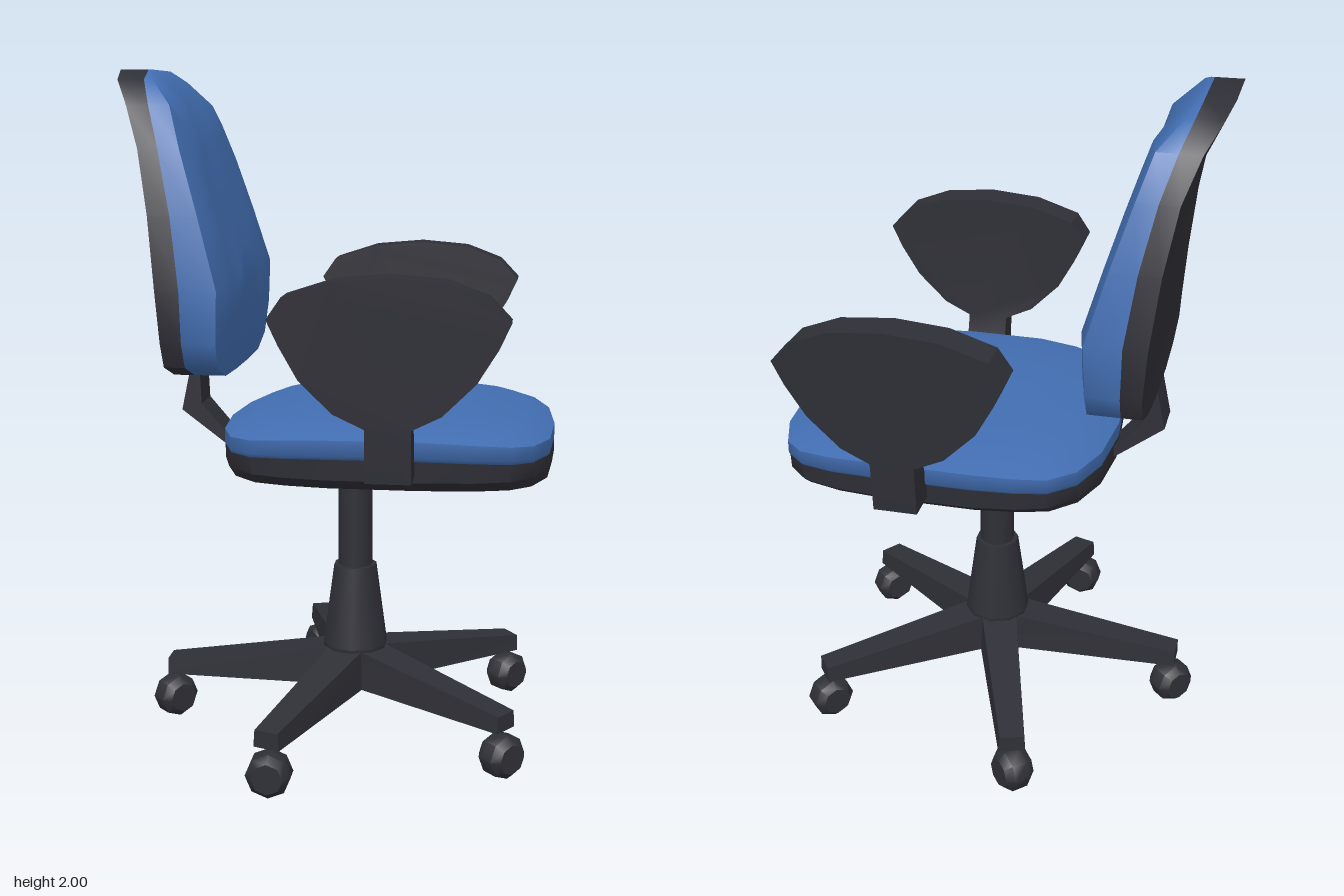
import * as THREE from 'three';
import { toCreasedNormals } from 'three/addons/utils/BufferGeometryUtils.js';

const fabric = new THREE.MeshStandardMaterial({ color: 0x426eb2 });
fabric.name = 'blue fabric';
const plastic = new THREE.MeshStandardMaterial({ color: 0x2f2f37 });
plastic.name = 'dark plastic';

// Piecewise linear lookup in a short list of [input, output] pairs
function lookup(table, v) {
  if (v <= table[0][0]) return table[0][1];
  for (let i = 1; i < table.length; i++) {
    const [a, p] = table[i - 1], [b, q] = table[i];
    if (v <= b) return p + (q - p) * (v - a) / (b - a);
  }
  return table[table.length - 1][1];
}

// Skin a list of equal-length rings, ordered towards the outward end
function loft(rings, crease = 0.7) {
  const n = rings[0].length, index = [];
  for (let r = 0; r < rings.length - 1; r++) {
    for (let i = 0; i < n; i++) {
      const a = r * n + i, b = r * n + (i + 1) % n;
      index.push(a, b, b + n, a, b + n, a + n);
    }
  }
  const g = new THREE.BufferGeometry();
  g.setAttribute('position', new THREE.Float32BufferAttribute(rings.flat(2), 3));
  g.setIndex(index);
  return toCreasedNormals(g, crease);
}

// Move every vertex by a rule that edits a Vector3
function reshape(g, rule) {
  const p = g.attributes.position, v = new THREE.Vector3();
  for (let i = 0; i < p.count; i++) {
    v.fromBufferAttribute(p, i);
    rule(v);
    p.setXYZ(i, v.x, v.y, v.z);
  }
  return g;
}

function add(parent, name, geometry, material) {
  const mesh = new THREE.Mesh(geometry, material);
  mesh.name = name;
  parent.add(mesh);
  return mesh;
}

function buildSeat() {
  const seat = new THREE.Group();
  seat.name = 'seat';
  // Half outline from front to back, as [x, z]
  const half = [[0.63, 0], [0.615, 0.23], [0.57, 0.36], [0.51, 0.42], [0.41, 0.452], [0.25, 0.468],
    [0, 0.468], [-0.12, 0.45], [-0.21, 0.42], [-0.28, 0.34], [-0.325, 0.2], [-0.342, 0]];
  const outline = [...half.map(([x, z]) => [x, -z]), ...half.slice(1, -1).reverse()];
  const cx = 0.15;
  const ring = (sx, sz, height) => outline.map(([x, z]) =>
    [cx + (x - cx) * sx, height(x, z), z * sz]);
  const side = (x) => Math.max(0, 1 - ((x - cx) / 0.48) ** 2);
  const seam = (x) => 0.93 + 0.022 * side(x);
  const rim = (x) => 0.975 + 0.035 * side(x);
  add(seat, 'seatPan', loft([
    ring(0, 0, () => 0.857), ring(0.99, 0.86, () => 0.857),
    ring(1, 0.955, () => 0.89), ring(1, 0.97, seam)]), plastic);
  add(seat, 'seatCushion', loft([
    ring(1, 0.97, seam), ring(1, 1, (x) => seam(x) + 0.012), ring(1, 1, rim),
    ring(0.83, 0.8, (x) => 1.015 + 0.015 * side(x)),
    ring(0.45, 0.45, () => 1.033), ring(0, 0, () => 1.035)], 1), fabric);
  return seat;
}

function buildBackrest() {
  const back = new THREE.Group();
  back.name = 'backrest';
  // Half outline from bottom to top, as [y, half width]
  const half = [[1.12, 0.1], [1.14, 0.25], [1.18, 0.365], [1.25, 0.4], [1.4, 0.407], [1.6, 0.375],
    [1.78, 0.335], [1.9, 0.28], [1.97, 0.21], [2, 0.11]];
  const outline = [...half.map(([y, w]) => [y, -w]), ...half.map(([y, w]) => [y, w]).reverse()];
  const rear = [[1.12, -0.46], [1.25, -0.462], [1.5, -0.48], [1.75, -0.52], [1.87, -0.555], [2, -0.632]];
  const seam = [[1.12, -0.4], [1.4, -0.405], [1.65, -0.44], [1.85, -0.49], [2, -0.55]];
  const edge = [[1.12, -0.31], [1.4, -0.3], [1.65, -0.37], [1.9, -0.45], [2, -0.54]];
  const front = [[1.14, -0.3], [1.4, -0.28], [1.65, -0.352], [1.9, -0.43], [2, -0.52]];
  const cy = 1.5;
  const ring = (s, table, lift = 0) => outline.map(([y0, z]) => {
    const y = Math.max(cy + (y0 - cy) * s, 1.12 + lift);
    return [lookup(table, y), y, z * s];
  });
  add(back, 'backShell', loft([
    ring(0, rear), ring(0.4, rear), ring(0.75, rear), ring(1, rear), ring(1, seam)]), plastic);
  add(back, 'backCushion', loft([
    ring(1, seam), ring(1, edge, 0.015), ring(0.85, front), ring(0.6, front),
    ring(0.3, front), ring(0, front)], 1), fabric);

  // Bent strip joining the seat to the backrest
  const strip = new THREE.Shape([[-0.2, 0.87], [-0.34, 0.89], [-0.485, 1.0], [-0.455, 1.14],
    [-0.43, 1.14], [-0.425, 1.02], [-0.34, 0.92], [-0.2, 0.92]]
    .reverse().map(([x, y]) => new THREE.Vector2(x, y)));
  const g = new THREE.ExtrudeGeometry(strip, { depth: 0.12, bevelEnabled: false });
  add(back, 'backSupport', g.translate(0, 0, -0.06), plastic);
  return back;
}

// Flat paddle armrest with a stem that bends in under the seat edge
function buildArmrest(side) {
  const shape = new THREE.Shape([[0.125, 0.91], [0.25, 0.91], [0.25, 1.06], [0.33, 1.1], [0.42, 1.19],
    [0.475, 1.28], [0.507, 1.35], [0.45, 1.41], [0.34, 1.452], [0.19, 1.465], [0.04, 1.452],
    [-0.09, 1.41], [-0.132, 1.35], [-0.1, 1.28], [-0.05, 1.19], [0.04, 1.1], [0.125, 1.06]]
    .map(([x, y]) => new THREE.Vector2(x, y)));
  const inner = [[0.91, 0.44], [1.06, 0.488], [1.465, 0.485]];
  const outer = [[0.91, 0.55], [1.06, 0.565], [1.465, 0.59]];
  const g = new THREE.ExtrudeGeometry(shape, { depth: 1, bevelEnabled: false });
  reshape(g, (v) => {
    const outside = (v.z > 0.5) === (side > 0);
    v.z = side * lookup(outside ? outer : inner, v.y);
  });
  return toCreasedNormals(g, 0.6);
}

function buildBase() {
  const base = new THREE.Group();
  base.name = 'base';
  base.position.x = 0.035;
  add(base, 'gasLift', new THREE.CylinderGeometry(0.053, 0.053, 0.38, 10).translate(0, 0.68, 0), plastic);
  add(base, 'hub', new THREE.CylinderGeometry(0.066, 0.1, 0.25, 10).translate(0, 0.395, 0), plastic);
  add(base, 'hubFoot', new THREE.CylinderGeometry(0.1, 0.085, 0.125, 10).translate(0, 0.2075, 0), plastic);

  // Yaw of each caster about its own vertical axis
  const yaws = [0.75, -0.8, 0, 0.7, 0.8];
  for (let i = 0; i < 5; i++) {
    const angle = Math.PI * (0.2 + 0.4 * i);
    const leg = reshape(new THREE.BoxGeometry(1, 1, 1), (v) => {
      const out = v.x > 0, top = v.y > 0;
      v.set(out ? 0.588 : 0.03, top ? (out ? 0.195 : 0.268) : 0.145,
        Math.sign(v.z) * (out ? 0.04 : 0.062) * (top ? 0.9 : 1));
    });
    leg.computeVertexNormals();
    add(base, 'leg', leg, plastic).rotation.y = -angle;

    const profile = [[0, -0.047], [0.045, -0.047], [0.065, -0.025], [0.065, 0.025], [0.045, 0.047], [0, 0.047]]
      .map(([r, h]) => new THREE.Vector2(r, h));
    const wheel = toCreasedNormals(new THREE.LatheGeometry(profile, 8).rotateX(Math.PI / 2), 0.8);
    const caster = add(base, 'caster', wheel, plastic);
    caster.position.set(0.575 * Math.cos(angle), 0.064, 0.565 * Math.sin(angle));
    caster.rotation.y = [yaws[0], 0, yaws[2] + 0.8, yaws[1], yaws[4]][i];
  }
  return base;
}

export function createModel() {
  const chair = new THREE.Group();
  chair.name = 'officeChair';
  chair.add(buildBase(), buildSeat(), buildBackrest());
  add(chair, 'leftArmrest', buildArmrest(1), plastic);
  add(chair, 'rightArmrest', buildArmrest(-1), plastic);
  return chair;
}
